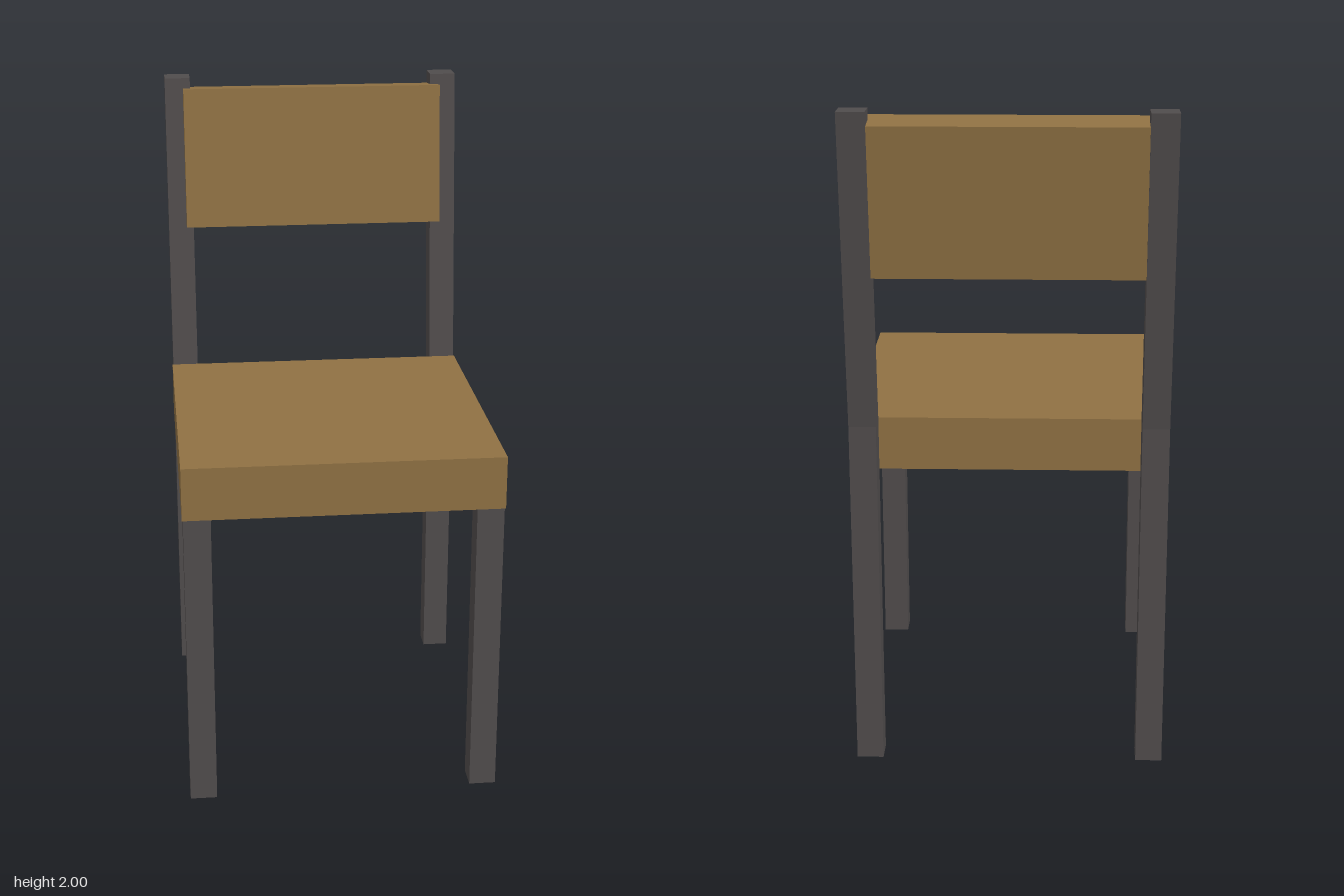
import * as THREE from 'three';

const wood = new THREE.MeshStandardMaterial({ name: 'wood', color: 0x8f7143, flatShading: true });
const metal = new THREE.MeshStandardMaterial({ name: 'dark metal', color: 0x504c4c, flatShading: true });

// Extrudes a side outline of [z, y] points across x, centred on x = 0
function sideProfile(name, points, width, material) {
  const shape = new THREE.Shape(points.map(([z, y]) => new THREE.Vector2(z, y)));
  const geometry = new THREE.ExtrudeGeometry(shape, { depth: width, bevelEnabled: false });
  geometry.translate(0, 0, -width / 2);
  geometry.rotateY(-Math.PI / 2);
  const mesh = new THREE.Mesh(geometry, material);
  mesh.name = name;
  return mesh;
}

export function createModel() {
  const chair = new THREE.Group();
  chair.name = 'chair';

  // Thick square seat
  const seat = new THREE.Mesh(new THREE.BoxGeometry(0.94, 0.16, 0.94), wood);
  seat.name = 'seat';
  seat.position.set(0, 0.995, 0.09);
  chair.add(seat);

  // Leaning panel set between the rear posts
  chair.add(sideProfile('backrest',
    [[-0.376, 1.538], [-0.502, 1.524], [-0.55, 1.96], [-0.425, 1.974]], 0.82, wood));

  // Legs, mirrored; the rear ones bend back above the seat
  for (const [side, sign] of [['left', 1], ['right', -1]]) {
    const front = sideProfile(side + 'FrontLeg',
      [[0.477, 0], [0.556, 0], [0.556, 0.915], [0.477, 0.915]], 0.08, metal);
    const rear = sideProfile(side + 'RearPost',
      [[-0.38, 0], [-0.38, 1.075], [-0.48, 2], [-0.56, 2], [-0.457, 1.07], [-0.457, 0]], 0.08, metal);
    front.position.x = rear.position.x = sign * 0.427;
    chair.add(front, rear);
  }
  return chair;
}
